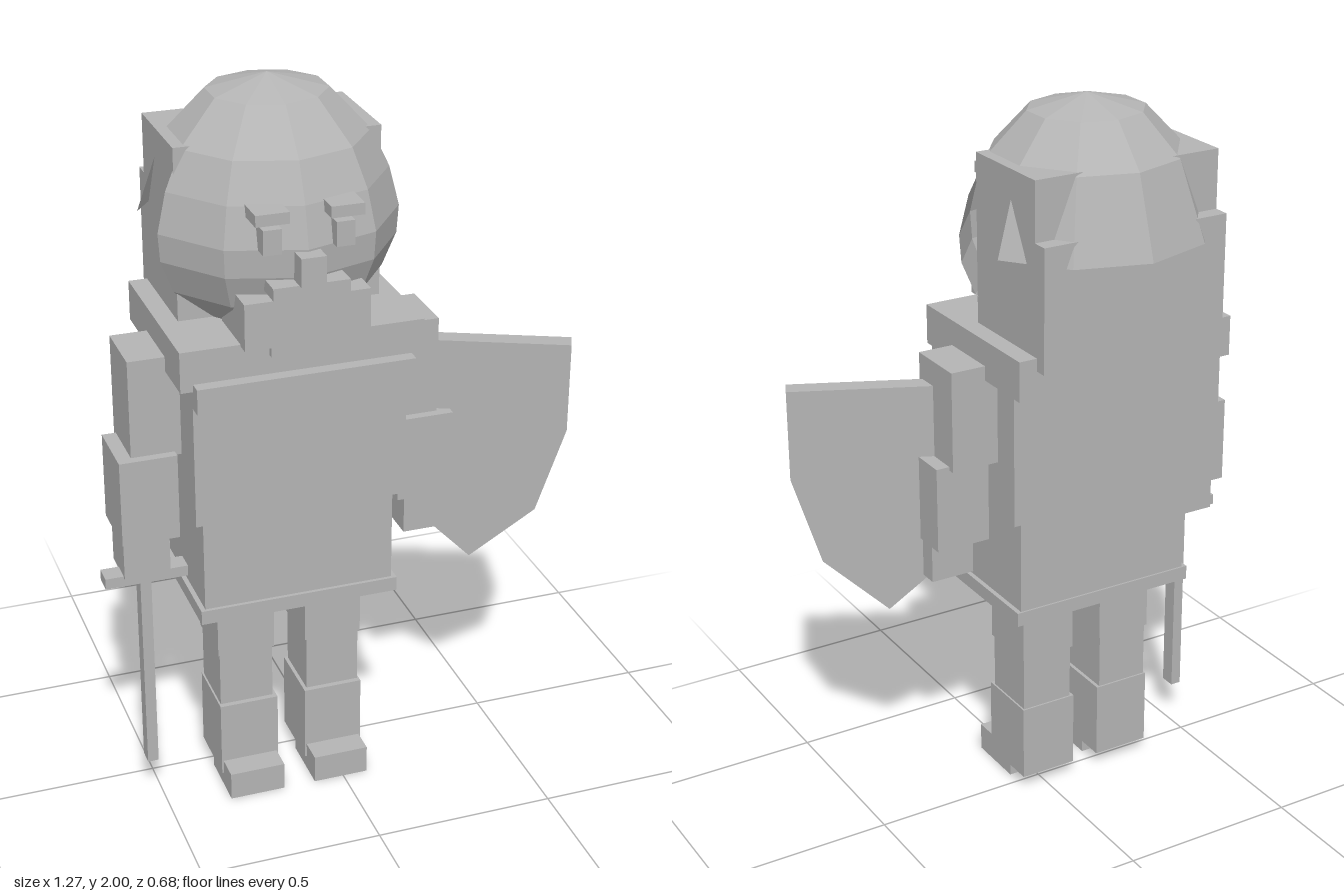
import * as THREE from 'three';

const stone = new THREE.MeshStandardMaterial({ color: 0xb4b4b4, flatShading: true, side: THREE.DoubleSide });
stone.name = 'stone grey';

const CX = -0.13; // body axis

export function createModel() {
  const model = new THREE.Group();
  model.name = 'knight';

  const add = (name, geometry) => {
    const mesh = new THREE.Mesh(geometry, stone);
    mesh.name = name;
    model.add(mesh);
    return mesh;
  };
  // Box given by its limits on each axis
  const box = (name, x0, x1, y0, y1, z0, z1) => {
    const g = new THREE.BoxGeometry(x1 - x0, y1 - y0, z1 - z0);
    g.translate((x0 + x1) / 2, (y0 + y1) / 2, (z0 + z1) / 2);
    return add(name, g);
  };
  // Box centred on the body axis
  const mid = (name, half, y0, y1, z0, z1) => box(name, CX - half, CX + half, y0, y1, z0, z1);
  // Mirrored pair of boxes, with distances measured from the body axis
  const pair = (name, near, far, y0, y1, z0, z1) => {
    box(name + 'Left', CX + near, CX + far, y0, y1, z0, z1);
    box(name + 'Right', CX - far, CX - near, y0, y1, z0, z1);
  };

  // Legs
  pair('thigh', 0.045, 0.205, 0.42, 0.64, -0.045, 0.13);
  pair('knee', 0.05, 0.2, 0.25, 0.43, -0.04, 0.125);
  pair('shin', 0.04, 0.205, 0.04, 0.26, -0.045, 0.14);
  pair('foot', 0.045, 0.2, 0, 0.08, 0.04, 0.21);

  // Tunic and torso
  mid('tunicHem', 0.275, 0.59, 0.63, -0.135, 0.225);
  mid('tunicSkirt', 0.262, 0.62, 0.9, -0.13, 0.215);
  mid('chest', 0.287, 0.895, 1.3, -0.14, 0.24);
  mid('chestBand', 0.29, 1.24, 1.31, 0.2, 0.295);
  mid('collar', 0.323, 1.29, 1.4, -0.23, 0.26);
  mid('collarTab', 0.09, 1.36, 1.41, 0.2, 0.275);

  // Arms
  pair('upperArm', 0.28, 0.422, 1.05, 1.33, -0.055, 0.12);
  pair('forearm', 0.305, 0.46, 0.82, 1.06, -0.035, 0.145);
  pair('hand', 0.33, 0.455, 0.71, 0.83, 0.01, 0.13);

  // Sword
  box('swordGuard', -0.635, -0.41, 0.685, 0.715, 0.065, 0.12);
  box('swordBlade', -0.54, -0.51, 0.11, 0.69, 0.07, 0.115);

  // Shield, turned outward on the left arm
  const outline = [
    [-0.25, 1.26], [-0.25, 1.01], [-0.175, 0.765], [0, 0.61],
    [0.175, 0.765], [0.25, 1.01], [0.25, 1.26],
  ].map(([x, y]) => new THREE.Vector2(x, y));
  const shieldGeometry = new THREE.ExtrudeGeometry(new THREE.Shape(outline), { depth: 0.053, bevelEnabled: false });
  shieldGeometry.translate(0, 0, -0.0265);
  const shield = add('shield', shieldGeometry);
  shield.position.set(0.4, 0, 0.125);
  shield.rotation.y = -0.43;

  // Hood block and neck guard
  mid('hood', 0.272, 1.39, 1.86, -0.22, 0.07);
  mid('neckGuard', 0.272, 1.365, 1.7, -0.265, -0.21);

  // Ten-sided helmet: full crown, front sectors down to the jaw, rear flap
  const step = Math.PI / 5;
  const sectors = (name, profile, first, count) => {
    const points = profile.map(([r, y]) => new THREE.Vector2(r, y));
    const mesh = add(name, new THREE.LatheGeometry(points, count, first * step, count * step));
    mesh.position.set(CX, 0, -0.02);
    mesh.scale.x = 1.05;
  };
  sectors('crown', [[0.25, 1.85], [0.15, 1.96], [0, 2]], 0, 10);
  sectors('faceDome', [[0.2, 1.4], [0.28, 1.48], [0.315, 1.57], [0.32, 1.645], [0.295, 1.75], [0.25, 1.85]], -2, 4);
  sectors('rearFlap', [[0.32, 1.635], [0.25, 1.85]], 3, 4);

  // Face
  pair('eye', 0.07, 0.118, 1.645, 1.71, 0.2, 0.305);
  pair('eyebrow', 0.053, 0.14, 1.725, 1.755, 0.2, 0.315);
  mid('nose', 0.033, 1.565, 1.64, 0.25, 0.34);
  mid('mouth', 0.1, 1.533, 1.565, 0.22, 0.325);
  mid('chin', 0.165, 1.395, 1.52, 0.1, 0.295);

  return model;
}
